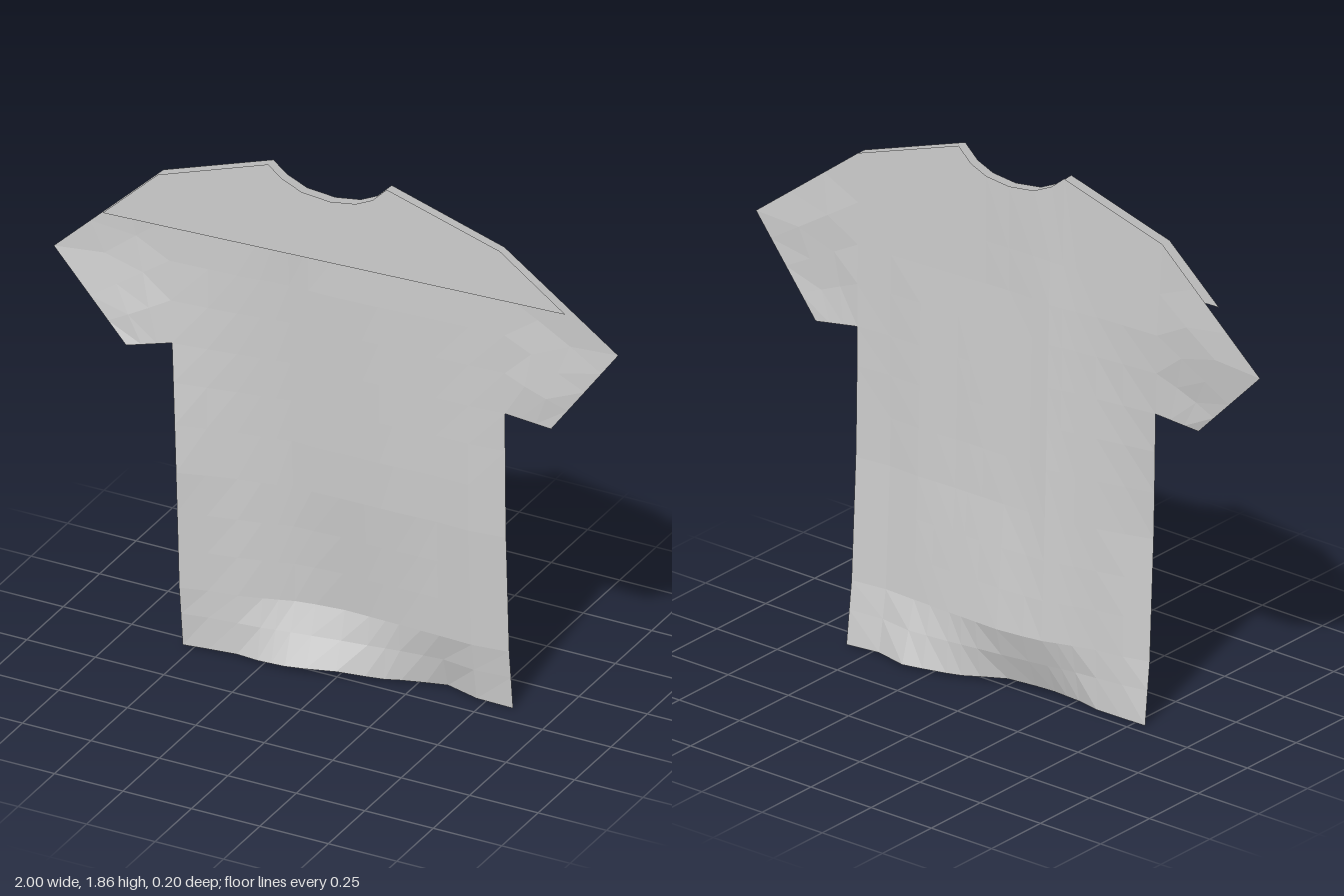
import * as THREE from 'three';

// Piecewise linear curve through [position, value] pairs
const curve = (pts) => (t) => {
  if (t <= pts[0][0]) return pts[0][1];
  for (let i = 1; i < pts.length; i++) {
    const [a, va] = pts[i - 1], [b, vb] = pts[i];
    if (t <= b) return va + (vb - va) * (t - a) / (b - a);
  }
  return pts[pts.length - 1][1];
};
const lerp = THREE.MathUtils.lerp;

// Outline: shoulders with neckline, hem, side seams
const topPts = [[-0.61, 1.73], [-0.22, 1.857], [-0.17, 1.815], [-0.1, 1.782], [0, 1.77], [0.09, 1.782],
  [0.15, 1.81], [0.2, 1.86], [0.6, 1.725]];
const topY = curve(topPts);
const hemY = curve([[-0.54, 0], [-0.2, 0.012], [0, 0.022], [0.15, 0.008], [0.4, 0.01], [0.6, 0]]);
const leftSeam = curve([[0, -0.54], [0.7, -0.545], [1.1, -0.57], [1.73, -0.61]]);

// Depth of the cloth across x, at four heights
const hemZ = curve([[-0.54, 0.044], [-0.36, 0.028], [-0.27, 0.04], [-0.15, 0.04], [0, 0.008], [0.1, -0.025],
  [0.22, -0.07], [0.35, -0.103], [0.47, -0.073], [0.6, -0.08]]);
const lowZ = curve([[-0.54, 0.065], [-0.45, 0.04], [-0.35, 0.025], [-0.25, -0.005], [-0.15, -0.038], [0, -0.055],
  [0.2, -0.05], [0.35, -0.045], [0.47, -0.04], [0.6, -0.055]]);
const midZ = curve([[-0.545, 0.084], [-0.45, 0.055], [-0.35, 0.027], [-0.25, 0.01], [-0.17, -0.012], [-0.1, -0.008],
  [0, -0.01], [0.2, -0.012], [0.35, -0.02], [0.47, -0.015], [0.6, -0.03]]);
const clothZ = (x, y) => curve([[0.02, hemZ(x)], [0.2, lowZ(x)], [0.7, midZ(x)],
  [1.4, 0.012 - 0.055 * x - 0.012 * Math.exp(-(((x + 0.18) / 0.1) ** 2))], [1.7, 0.012 - 0.055 * x]])(y);

const material = new THREE.MeshStandardMaterial({ color: 0xcccccc, flatShading: true, side: THREE.DoubleSide });

// Faceted sheet of nu by nv cells from a rule (i, j) -> [x, y, z]
function sheet(name, nu, nv, rule) {
  const geo = new THREE.PlaneGeometry(1, 1, nu, nv);
  const pos = geo.attributes.position;
  for (let j = 0; j <= nv; j++) {
    for (let i = 0; i <= nu; i++) pos.setXYZ(j * (nu + 1) + i, ...rule(i, nv - j));
  }
  geo.computeVertexNormals();
  const mesh = new THREE.Mesh(geo, material);
  mesh.name = name;
  return mesh;
}

export function createModel() {
  const shirt = new THREE.Group();
  shirt.name = 'tShirt';

  // Torso: one draped sheet
  const xs = [-0.61, -0.45, -0.35, -0.27, -0.22, -0.17, -0.1, 0, 0.09, 0.15, 0.2, 0.28, 0.35, 0.47, 0.6];
  const ys = [0, 0.12, 0.22, 0.36, 0.5, 0.65, 0.82, 0.97, 1.11, 1.26, 1.4, 1.55, 2];
  shirt.add(sheet('torso', xs.length - 1, ys.length - 1, (i, j) => {
    const y = j === 0 ? hemY(xs[i]) : j === ys.length - 1 ? topY(xs[i]) : ys[j];
    const x = i === 0 ? leftSeam(y) : xs[i];
    return [x, y, clothZ(x, y)];
  }));

  // Sleeves: from the arm seam to the cuff
  const seamRows = [1.11, 1.26, 1.4, 1.55, 1.73];
  const sleeve = (name, seamX, shoulderY, low, tip) => sheet(name, 3, 4, (i, j) => {
    const t = i / 3, v = j / 4;
    const sy = j === 4 ? shoulderY : seamRows[j];
    const sx = seamX(sy);
    const pucker = 0.008 * Math.sin(t * Math.PI) * Math.sin(v * Math.PI * 2);
    return [
      lerp(sx, lerp(low[0], tip[0], v), t),
      lerp(sy, lerp(low[1], tip[1], v), t),
      lerp(clothZ(sx, sy), lerp(low[2], tip[2], v), t) + pucker,
    ];
  });
  shirt.add(sleeve('rightSleeve', leftSeam, 1.73, [-0.72, 1.08, 0.095], [-1, 1.36, 0.065]));
  shirt.add(sleeve('leftSleeve', () => 0.6, 1.725, [0.76, 1.088, -0.04], [1, 1.415, -0.05]));

  // Flat yoke panel in front of the shoulders
  const outline = [[-0.805, 1.545], [0.832, 1.545], ...[...topPts].reverse()];
  const yokeGeo = new THREE.ShapeGeometry(new THREE.Shape(outline.map(([x, y]) => new THREE.Vector2(x, y))));
  const p = yokeGeo.attributes.position;
  for (let i = 0; i < p.count; i++) p.setZ(i, 0.047 - 0.06 * p.getX(i));
  yokeGeo.computeVertexNormals();
  const yoke = new THREE.Mesh(yokeGeo, material);
  yoke.name = 'frontYoke';
  shirt.add(yoke);

  return shirt;
}
